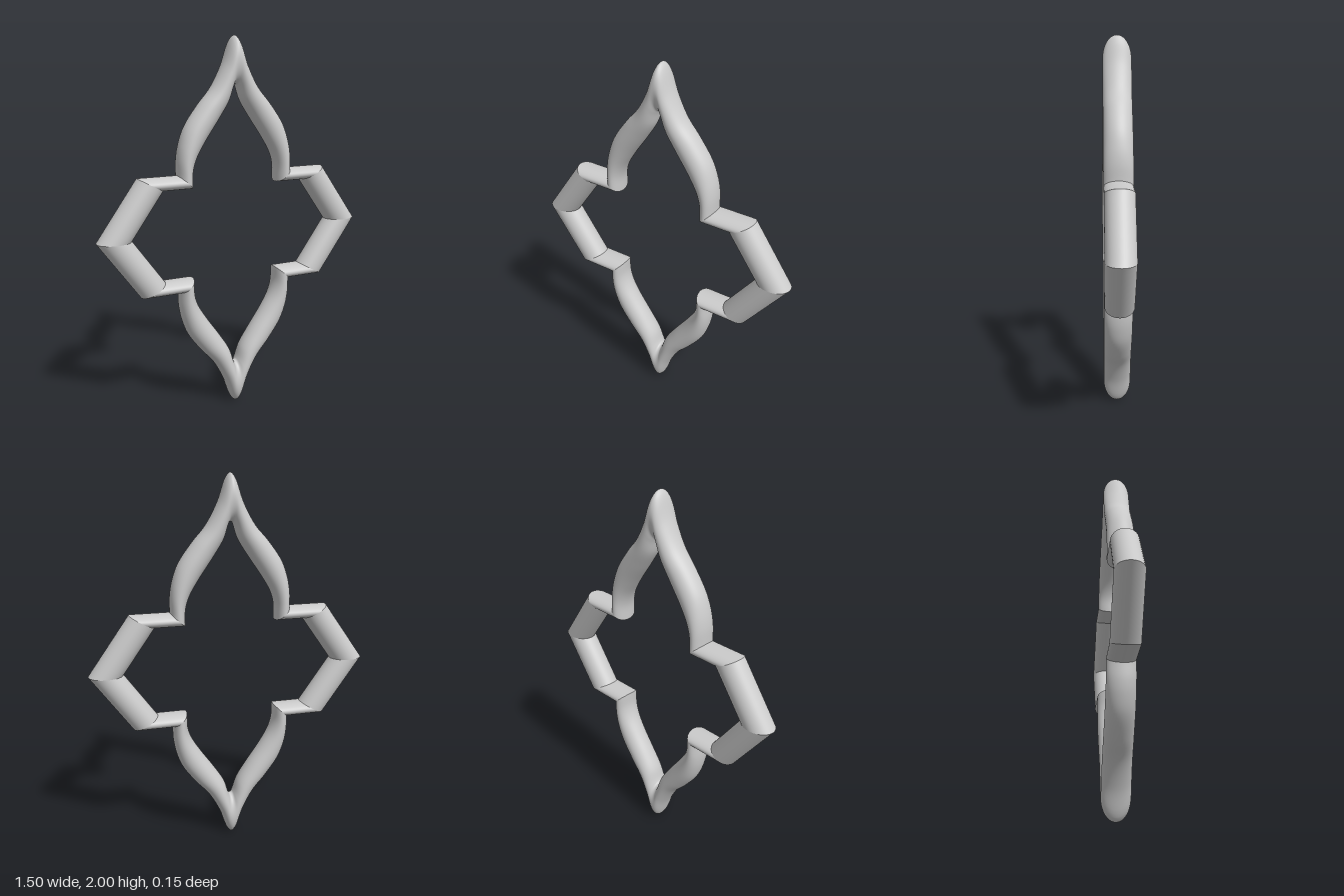
import * as THREE from 'three';

const DEPTH = 0.074; // half thickness front to back
const SIDES = 40;
const material = new THREE.MeshStandardMaterial({ color: 0xcccccc });

// Stations [outerX, outerY, innerX, innerY] for one quarter, measured from the centre
const SIDE_TIP = [0.75, 0, 0.57, 0];
const CORNER = [0.53, 0.31, 0.4, 0.24];
const NOTCH = [0.32, 0.31, 0.243, 0.24];
const PETAL = [
  NOTCH,
  [0.318, 0.395, 0.24, 0.325],
  [0.305, 0.47, 0.22, 0.39],
  [0.274, 0.555, 0.17, 0.475],
  [0.2, 0.66, 0.092, 0.588],
  [0.127, 0.745, 0.038, 0.676],
  [0.064, 0.86, 0.017, 0.742],
  [0.02, 0.98, 0.009, 0.757],
];
const PETAL_TIP = [0, 1, 0, 0.76];

const flip = ([ox, oy, ix, iy], sx, sy) => [ox * sx, oy * sy, ix * sx, iy * sy];

// Open tube whose oval sections span from the inner to the outer outline
function loft(stations, name) {
  const positions = [], index = [];
  stations.forEach(([ox, oy, ix, iy], s) => {
    for (let k = 0; k < SIDES; k++) {
      const a = (k / SIDES) * Math.PI * 2;
      const w = (1 + Math.cos(a)) / 2;
      positions.push(ix + (ox - ix) * w, 1 + iy + (oy - iy) * w, DEPTH * Math.sin(a));
      if (s < stations.length - 1) {
        const p = s * SIDES + k, q = s * SIDES + ((k + 1) % SIDES);
        index.push(p, p + SIDES, q, q, p + SIDES, q + SIDES);
      }
    }
  });
  const geometry = new THREE.BufferGeometry();
  geometry.setAttribute('position', new THREE.Float32BufferAttribute(positions, 3));
  geometry.setIndex(index);
  geometry.computeVertexNormals();
  const mesh = new THREE.Mesh(geometry, material);
  mesh.name = name;
  return mesh;
}

// Smooth run through stations, sampling both outlines in step
function smooth(stations, steps) {
  const curve = (i) => new THREE.CatmullRomCurve3(
    stations.map((s) => new THREE.Vector3(s[i], s[i + 1], 0)), false, 'centripetal');
  const outer = curve(0), inner = curve(2);
  return Array.from({ length: steps + 1 }, (_, i) => {
    const o = outer.getPoint(i / steps), n = inner.getPoint(i / steps);
    return [o.x, o.y, n.x, n.y];
  });
}

// Straight run between two mitred corners
const straight = (a, b, steps = 8) => Array.from({ length: steps + 1 }, (_, i) =>
  a.map((v, j) => v + (b[j] - v) * (i / steps)));

export function createModel() {
  const group = new THREE.Group();
  group.name = 'quatrefoilFrame';

  // Curved pointed petals, top and bottom
  const arch = smooth(
    [...PETAL, PETAL_TIP, ...[...PETAL].reverse().map((s) => flip(s, -1, 1))], 96);
  group.add(loft(arch, 'topPetal'));
  group.add(loft(arch.map((s) => flip(s, -1, -1)), 'bottomPetal'));

  // Angular side points: a sloping arm and a short ledge in every quarter
  for (const sx of [1, -1]) for (const sy of [1, -1]) {
    const label = (sy > 0 ? 'upper' : 'lower') + (sx > 0 ? 'Left' : 'Right');
    const add = (a, b, part) => {
      const run = straight(a, b).map((s) => flip(s, sx, sy));
      if (sx * sy < 0) run.reverse();
      group.add(loft(run, label + part));
    };
    add(SIDE_TIP, CORNER, 'Arm');
    add(CORNER, NOTCH, 'Ledge');
  }
  return group;
}
